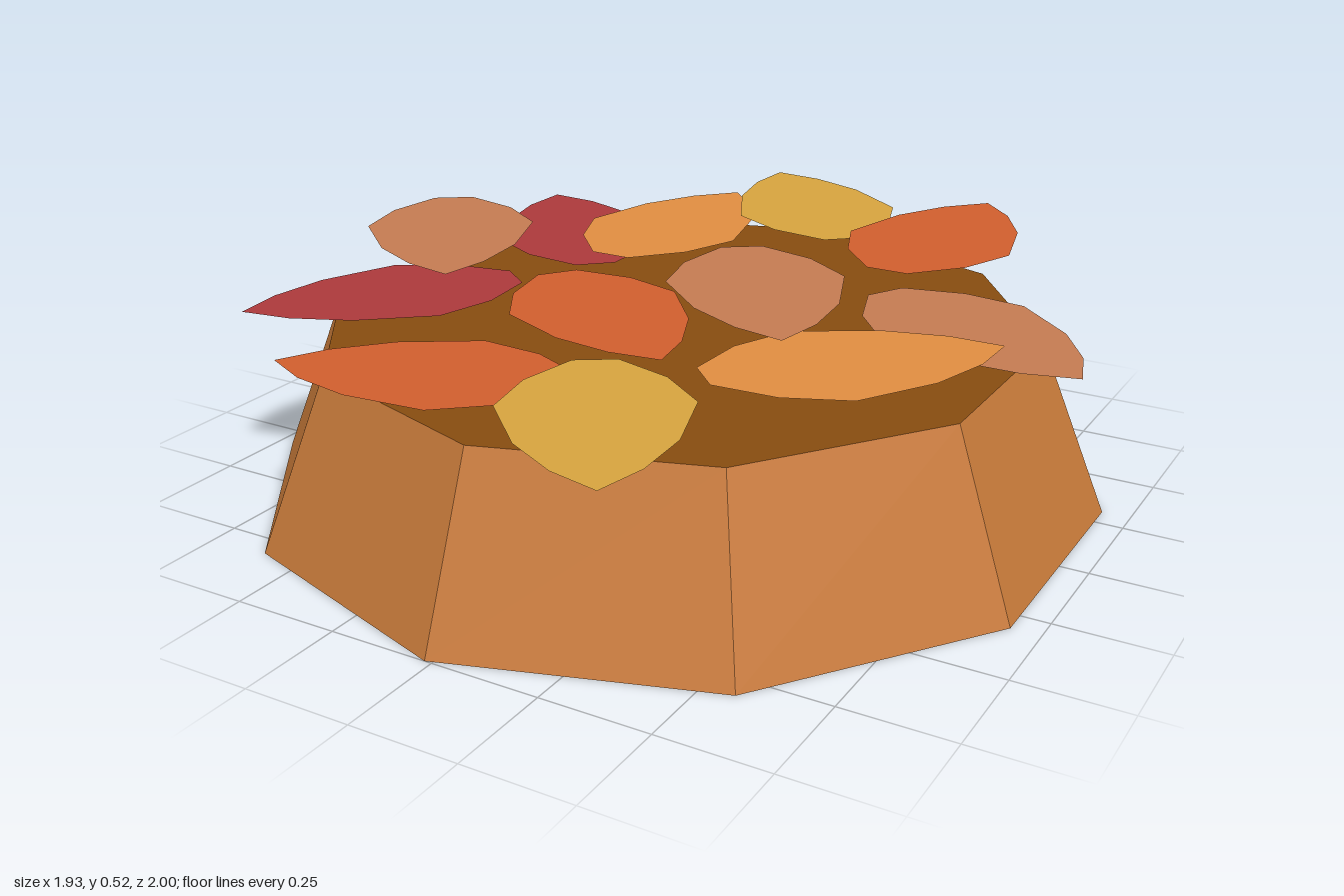
import * as THREE from 'three';

const paint = (color) => new THREE.MeshStandardMaterial({ color, flatShading: true });

// Half outline of a leaf: [distance back from the tip, half width]
const HALF = [[0.09, 0.087], [0.22, 0.16], [0.41, 0.206], [0.55, 0.15], [0.66, 0.05]];

// Flat leaf lying in the ground plane, tip at the origin, stem end towards +z
function leafGeometry() {
  const right = HALF.map(([d, w]) => new THREE.Vector2(w, -d));
  const left = HALF.map(([d, w]) => new THREE.Vector2(-w, -d)).reverse();
  const shape = new THREE.Shape([new THREE.Vector2(0, 0), ...right, ...left]);
  return new THREE.ShapeGeometry(shape).rotateX(-Math.PI / 2);
}

export function createModel() {
  const model = new THREE.Group();
  model.name = 'leafPile';
  const cx = -0.017, bottomR = 1, topR = 0.84, height = 0.4, sides = 10;

  // Ten-sided tapering basket with a closed base
  const basketColor = paint(0xc87a3a);
  const wall = new THREE.Mesh(
    new THREE.CylinderGeometry(topR, bottomR, height, sides, 1, true), basketColor);
  wall.name = 'basketWall';
  wall.position.set(cx, height / 2, 0);
  const base = new THREE.Mesh(new THREE.CircleGeometry(bottomR, sides, Math.PI / 2), basketColor);
  base.name = 'basketBase';
  base.rotation.x = Math.PI / 2;
  base.position.x = cx;

  // Earth filling, level with the rim
  const fill = new THREE.Mesh(new THREE.CircleGeometry(topR, sides, Math.PI / 2), paint(0x874c10));
  fill.name = 'earthFill';
  fill.rotation.x = -Math.PI / 2;
  fill.position.set(cx, height, 0);
  model.add(wall, base, fill);

  // Leaves: [colour, tip x, tip z, stem x, stem z, height]
  const colors = { rust: 0xd05e2d, orange: 0xe08d40, gold: 0xd6a33e, red: 0xac393b, rose: 0xc47b52 };
  const leaves = [
    ['rust', 0.40, -0.90, 0.40, -0.24, 0.52],
    ['orange', -0.28, -0.78, -0.28, -0.12, 0.485],
    ['gold', -0.25, -0.98, 0.18, -0.48, 0.50],
    ['red', -0.79, -0.65, -0.35, -0.16, 0.44],
    ['rose', 0.96, 0.04, 0.38, -0.28, 0.455],
    ['orange', 0.78, 0.01, 0.32, 0.47, 0.485],
    ['rose', 0.40, 0.30, 0.02, -0.24, 0.52],
    ['rust', 0.135, 0.34, -0.40, -0.06, 0.44],
    ['rose', -0.47, 0.29, -0.85, -0.25, 0.52],
    ['red', -0.86, 0.55, -0.46, 0.02, 0.44],
    ['rust', -0.61, 0.72, 0.02, 0.51, 0.425],
    ['gold', 0.36, 0.95, 0.00, 0.39, 0.435],
  ];
  const geometry = leafGeometry();
  leaves.forEach(([name, tx, tz, sx, sz, y], i) => {
    const material = paint(colors[name]);
    material.side = THREE.DoubleSide;
    const leaf = new THREE.Mesh(geometry, material);
    leaf.name = `${name}Leaf${i + 1}`;
    leaf.position.set(tx, y, tz);
    leaf.rotation.y = Math.atan2(sx - tx, sz - tz);
    model.add(leaf);
  });
  return model;
}
